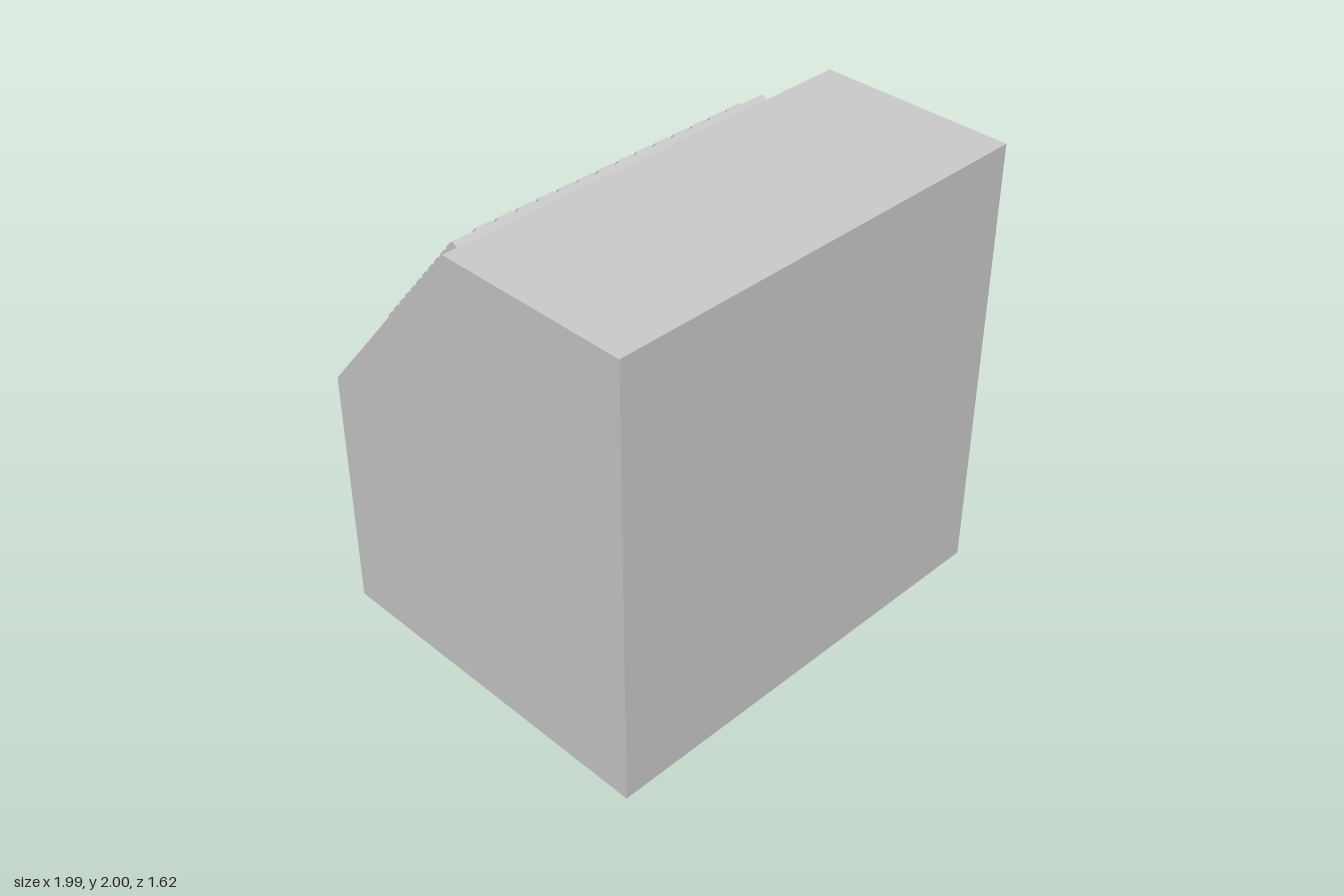
import * as THREE from 'three';

const grey = new THREE.MeshStandardMaterial({ color: 0xcccccc });

function add(parent, name, geometry, x = 0, y = 0, z = 0) {
  const mesh = new THREE.Mesh(geometry, grey);
  mesh.name = name;
  mesh.position.set(x, y, z);
  parent.add(mesh);
  return mesh;
}

const box = (w, h, d) => new THREE.BoxGeometry(w, h, d);

// Side profile (z, y) drawn once and extruded across the width
function makeBody() {
  const profile = new THREE.Shape(
    [[0.81, 0], [0.81, 2], [-0.06, 2], [-0.79, 1.12], [-0.79, 0]].map(([z, y]) => new THREE.Vector2(z, y))
  );
  const geometry = new THREE.ExtrudeGeometry(profile, { depth: 1.99, bevelEnabled: false });
  geometry.translate(0, 0, -0.995);
  geometry.rotateY(-Math.PI / 2);
  return geometry;
}

// Rectangle as shape or hole, centred on the origin
function rectangle(Type, w, h) {
  return new Type([[-w, -h], [w, -h], [w, h], [-w, h]].map(([x, y]) => new THREE.Vector2(x / 2, y / 2)));
}

// Door with a thin raised rim and an upright handle near the middle of the cabinet
function makeDoor(side) {
  const door = new THREE.Group();
  door.name = side > 0 ? 'leftDoor' : 'rightDoor';
  const w = 0.775, h = 0.9, rim = 0.024;
  const frame = rectangle(THREE.Shape, w, h);
  frame.holes.push(rectangle(THREE.Path, w - 2 * rim, h - 2 * rim));
  add(door, 'doorRim', new THREE.ExtrudeGeometry(frame, { depth: 0.022, bevelEnabled: false }), 0, 0, -0.022);
  add(door, 'doorPanel', box(w - 2 * rim, h - 2 * rim, 0.008), 0, 0, -0.004);
  add(door, 'doorHandle', box(0.012, 0.65, 0.014), -side * 0.31, -0.02, -0.015);
  door.position.set(side * 0.497, 0.56, -0.79);
  return door;
}

// Sloping control panel: local y points out of the slope, local z runs up it
function makeControlPanel() {
  const panel = new THREE.Group();
  panel.name = 'controlPanel';
  const thickness = 0.07, length = 0.755, columns = 16, rows = 12, pitch = 0.0622;
  add(panel, 'panelSlab', box(1.61, thickness, length), 0, thickness / 2, 0);

  const key = box(0.076, 0.014, 0.044);
  const centreRows = [0, 2.5, 5.5, 9, 11];
  const allRows = Array.from({ length: rows }, (_, i) => i);
  for (let c = 0; c < columns; c++) {
    const fromEdge = Math.min(c, columns - 1 - c);
    let list = allRows;
    if (fromEdge === 0) list = allRows.slice(0, -1).map((r) => r + 0.5); // shifted outer columns
    if (fromEdge === 3 || fromEdge === 4) list = allRows.filter((r) => r !== 5 && r !== 6); // blank patches
    if (fromEdge === 7) list = centreRows; // sparse middle columns
    for (const r of list) {
      add(panel, 'key', key, (c - 7.5) * 0.1, thickness + 0.005, (r - 5.5) * pitch);
    }
  }
  panel.position.set(0, 1.557, -0.43);
  panel.rotation.x = -Math.atan2(0.88, 0.73);
  return panel;
}

export function createModel() {
  const model = new THREE.Group();
  model.name = 'controlConsole';
  add(model, 'cabinetBody', makeBody());
  model.add(makeControlPanel());
  for (const side of [-1, 1]) model.add(makeDoor(side));
  return model;
}
